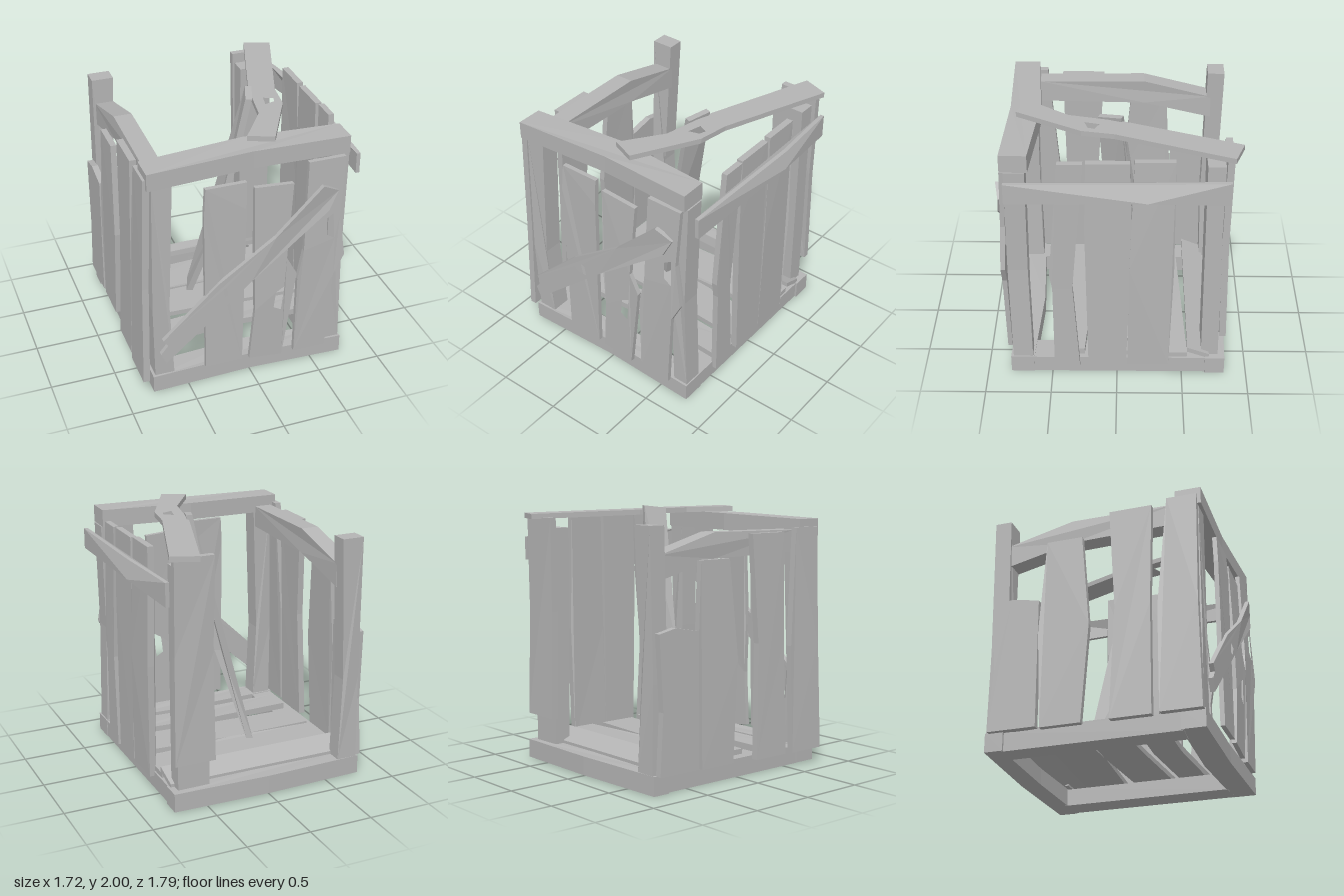
import * as THREE from 'three';

const wood = new THREE.MeshStandardMaterial({ color: 0xb4b4b4 });
wood.name = 'grey wood';

// piecewise linear lookup in [[t, value], ...]
function lerpTable(table, t) {
  const s = [...table].sort((a, b) => a[0] - b[0]);
  if (t <= s[0][0]) return s[0][1];
  for (let i = 1; i < s.length; i++) {
    const [t0, a] = s[i - 1], [t1, b] = s[i];
    if (t <= t1) return a + (b - a) * (t - t0) / (t1 - t0);
  }
  return s[s.length - 1][1];
}

// front: outline in x,y  | side: outline in z,y | floor: outline in x,z
// shift(u, v) gives where the back of the board sits along its thickness
function board(group, name, plane, outline, thick, shift, hole) {
  const sx = plane === 'side' ? -1 : 1, sy = plane === 'floor' ? -1 : 1;
  const flip = (pts) => pts.map(([u, v]) => new THREE.Vector2(u * sx, v * sy));
  const shape = new THREE.Shape(flip(outline));
  if (hole) shape.holes.push(new THREE.Path(flip(hole)));
  const geo = new THREE.ExtrudeGeometry(shape, { depth: thick, bevelEnabled: false });
  const p = geo.attributes.position;
  for (let i = 0; i < p.count; i++) p.setZ(i, p.getZ(i) + shift(p.getX(i) * sx, p.getY(i) * sy));
  if (plane === 'side') geo.rotateY(Math.PI / 2);
  if (plane === 'floor') geo.rotateX(-Math.PI / 2);
  geo.computeVertexNormals();
  const mesh = new THREE.Mesh(geo, wood);
  mesh.name = name;
  group.add(mesh);
  return mesh;
}

// stations [y, left edge, right edge, depth position]
function upright(group, name, plane, thick, rows, hole) {
  const outline = [...rows.map((r) => [r[1], r[0]]), ...[...rows].reverse().map((r) => [r[2], r[0]])];
  const table = rows.map((r) => [r[0], r[3]]);
  return board(group, name, plane, outline, thick, (u, v) => lerpTable(table, v), hole);
}

// stations [position along, low edge, high edge, depth position]
function rail(group, name, plane, thick, rows) {
  const outline = [...rows.map((r) => [r[0], r[1]]), ...[...rows].reverse().map((r) => [r[0], r[2]])];
  const table = rows.map((r) => [r[0], r[3]]);
  return board(group, name, plane, outline, thick, (u) => lerpTable(table, u));
}

export function createModel() {
  const g = new THREE.Group();
  g.name = 'broken crate';

  // bottom frame
  rail(g, 'bottomFrontBeam', 'floor', 0.14, [[-0.78, 0.64, 0.82, 0.005], [0, 0.6, 0.8, 0.01], [0.75, 0.64, 0.82, 0]]);
  rail(g, 'bottomBackBeam', 'floor', 0.145, [[-0.79, -0.82, -0.68, 0], [0, -0.855, -0.7, 0.005], [0.76, -0.83, -0.68, 0]]);
  rail(g, 'bottomLeftBeam', 'floor', 0.14, [[-0.77, -0.7, 0.66, 0], [-0.59, -0.7, 0.64, 0]]);
  rail(g, 'bottomRightBeam', 'floor', 0.135, [[0.54, -0.7, 0.64, 0], [0.745, -0.7, 0.66, 0]]);

  // floor slats
  rail(g, 'floorSlat', 'floor', 0.04, [[-0.7, -0.48, -0.19, 0.145], [0, -0.51, -0.17, 0.15], [0.74, -0.54, -0.22, 0.145]]);
  rail(g, 'floorSlat', 'floor', 0.04, [[-0.7, -0.155, 0.125, 0.145], [0, -0.165, 0.15, 0.145], [0.72, -0.12, 0.19, 0.145]]);
  rail(g, 'floorSlat', 'floor', 0.05, [[-0.7, 0.25, 0.46, 0.14], [0, 0.21, 0.425, 0.15], [0.72, 0.25, 0.46, 0.15]]);
  board(g, 'tiltedFloorSlat', 'floor', [[-0.72, -0.71], [0.74, -0.71], [0.75, -0.54], [-0.72, -0.54]], 0.04,
    (x, z) => 0.13 + (z + 0.71) * 0.42);

  // corner posts
  upright(g, 'frontLeftPost', 'front', 0.15, [[0.14, -0.76, -0.61, 0.65], [0.75, -0.77, -0.64, 0.66], [1.79, -0.75, -0.6, 0.65]]);
  upright(g, 'frontRightPost', 'front', 0.15, [[0.13, 0.62, 0.74, 0.65], [0.95, 0.6, 0.72, 0.66], [1.8, 0.6, 0.74, 0.65]]);
  upright(g, 'backLeftPost', 'front', 0.13, [[0.14, -0.77, -0.61, -0.82], [0.8, -0.77, -0.64, -0.81], [1.91, -0.76, -0.59, -0.83]]);
  upright(g, 'backRightPost', 'front', 0.13, [[0.14, 0.46, 0.71, -0.78], [1.84, 0.45, 0.71, -0.77]]);
  upright(g, 'backPlank', 'front', 0.05, [[0.36, 0.43, 0.75, -0.83], [1.2, 0.44, 0.74, -0.815], [1.92, 0.43, 0.74, -0.825]]);

  // top rails
  const frontRail = [[-0.79, 0.63, 0.83], [0, 0.575, 0.8], [0.73, 0.63, 0.83]];
  const railY = [1.775, 1.795, 1.8];
  rail(g, 'topFrontRail', 'floor', 0.135, frontRail.map((r, i) => [...r, railY[i]]));
  rail(g, 'topLeftRail', 'side', 0.14, [[-0.73, 1.52, 1.7, -0.74], [-0.2, 1.65, 1.84, -0.73], [0.62, 1.66, 1.83, -0.74]]);
  rail(g, 'topRightRail', 'side', 0.03, [[-0.81, 1.58, 1.76, 0.77], [-0.22, 1.625, 1.785, 0.828], [0.8, 1.6, 1.76, 0.8]]);

  // front planks
  upright(g, 'frontPlank', 'front', 0.035, [[0.16, -0.375, -0.085, 0.82], [1.5, -0.385, -0.065, 0.815], [1.715, -0.37, -0.06, 0.805]]);
  board(g, 'frontPlank', 'front',
    [[0, 1.655], [0.3, 1.635], [0.255, 1.02], [0.335, 0.87], [0.24, 0.125], [-0.025, 0.155], [0.01, 0.6], [-0.005, 1]],
    0.035, (x, y) => lerpTable([[0.12, 0.82], [0.87, 0.835], [1.65, 0.805]], y),
    [[0.24, 0.77], [0.22, 0.56], [0.16, 0.595], [0.175, 0.73]]);
  board(g, 'frontPlank', 'front',
    [[0.34, 0.13], [0.345, 0.81], [0.39, 1.05], [0.415, 1.78], [0.7, 1.78], [0.67, 1.3], [0.72, 0.95], [0.64, 0.79], [0.6, 0.13]],
    0.035, (x, y) => lerpTable([[0.13, 0.82], [0.9, 0.83], [1.78, 0.8]], y),
    [[0.57, 1.15], [0.57, 1.29], [0.63, 1.33], [0.635, 1.11]]);

  // diagonal plank nailed across the front
  board(g, 'diagonalPlank', 'front',
    [[-0.71, 0.5], [-0.28, 0.92], [0.155, 1.235], [0.515, 1.59], [0.645, 1.52], [0.57, 1.37], [-0.03, 0.89],
      [-0.69, 0.29], [-0.73, 0.38], [-0.675, 0.45]],
    0.035, (x) => lerpTable([[-0.73, 0.83], [0.1, 0.855], [0.5, 0.855], [0.65, 0.825]], x),
    [[-0.28, 0.835], [-0.21, 0.89], [-0.13, 0.87], [-0.16, 0.805], [-0.25, 0.8]]);

  // right side planks
  upright(g, 'rightPlank', 'side', 0.045, [[0.08, 0.48, 0.285, 0.735], [0.82, 0.48, 0.33, 0.735], [0.95, 0.5, 0.32, 0.735], [1.9, 0.42, 0.24, 0.74]]);
  upright(g, 'rightPlank', 'side', 0.05, [[0.11, 0.22, -0.07, 0.735], [1.35, 0.235, -0.11, 0.73], [1.9, 0.22, -0.09, 0.725]]);
  upright(g, 'rightPlank', 'side', 0.05, [[0.1, -0.08, -0.395, 0.73], [1.0, -0.09, -0.42, 0.74], [1.91, -0.125, -0.415, 0.72]]);

  // left side planks
  upright(g, 'leftPlank', 'side', 0.05, [[0.12, 0.82, 0.51, -0.86], [0.95, 0.8, 0.5, -0.84], [1.85, 0.8, 0.57, -0.81]]);
  upright(g, 'leftPlank', 'side', 0.05, [[0.12, 0.45, 0.14, -0.845], [1.0, 0.44, 0.17, -0.82], [1.82, 0.45, 0.12, -0.8]]);
  upright(g, 'leftPlank', 'side', 0.045, [[0.13, -0.08, -0.39, -0.82], [0.9, -0.03, -0.425, -0.81], [1.65, -0.1, -0.38, -0.79]]);
  board(g, 'shortLeftPlank', 'side', [[-0.42, 0.14], [-0.425, 1.15], [-0.64, 1.19], [-0.79, 1.16], [-0.76, 0.6], [-0.79, 0.14]],
    0.05, (z, y) => lerpTable([[0.14, -0.825], [1.19, -0.815]], y));

  // loose plank lying on top
  board(g, 'loosePlankOnTop', 'floor',
    [[0.575, -0.9], [0.775, -0.83], [0.475, 0.02], [0.44, 0.26], [0.185, 0.745], [0, 0.67], [0.21, 0.36], [0.29, -0.06]],
    0.04, (x, z) => 1.928 + 0.024 * z,
    [[0.335, 0.13], [0.405, 0.165], [0.39, 0.215], [0.31, 0.24]]);

  // loose plank leaning inside the crate
  const lean = upright(g, 'leaningPlank', 'front', 0.05,
    [[0.17, -0.085, 0.085, -0.025], [0.92, -0.1, 0.1, -0.025], [1.98, -0.09, 0.09, -0.025]]);
  const geo = lean.geometry.rotateY(1.23), p = geo.attributes.position;
  for (let i = 0; i < p.count; i++) {
    const y = p.getY(i);
    p.setX(i, p.getX(i) + lerpTable([[0.17, -0.16], [0.92, 0.05], [1.98, 0.25]], y));
    p.setZ(i, p.getZ(i) + lerpTable([[0.17, -0.18], [0.92, -0.02], [1.98, 0.05]], y));
    p.setY(i, y + (p.getZ(i) < 0.03 && y > 1.9 ? 0.02 : 0));
  }
  geo.computeVertexNormals();

  return g;
}
